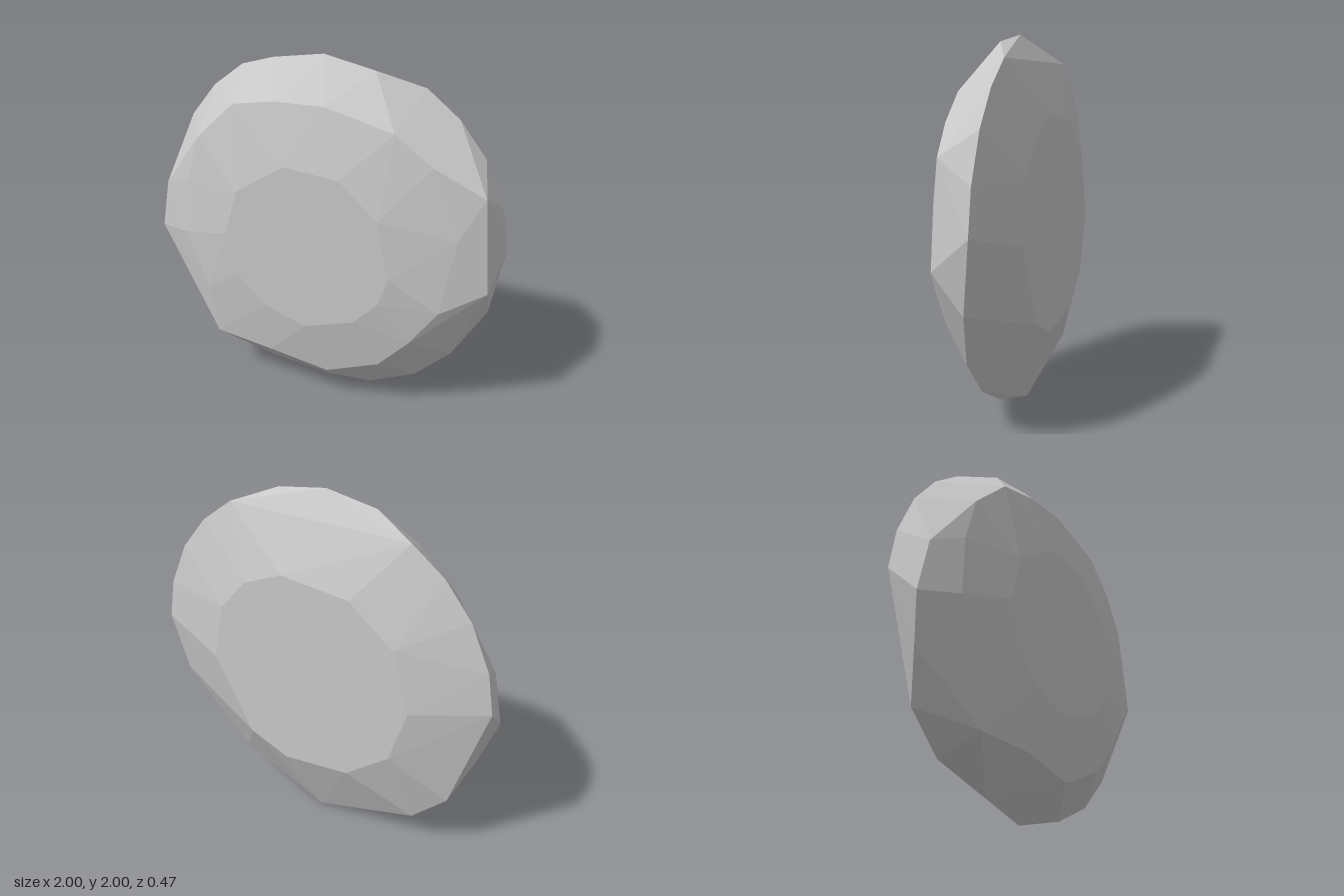
import * as THREE from 'three';
import { ConvexGeometry } from 'three/addons/geometries/ConvexGeometry.js';

// Faceted flat pebble: convex skin over four rough rings of corners
export function createModel() {
  const group = new THREE.Group();
  group.name = 'flatStone';
  const stoneGrey = new THREE.MeshStandardMaterial({ color: 0xc8c8c8 });
  stoneGrey.name = 'stoneGrey';

  // flat front face, x y
  const frontFace = [
    [-0.12, 1.46], [0.19, 1.44], [0.40, 1.25], [0.47, 0.93], [0.42, 0.77], [0.28, 0.62],
    [-0.01, 0.52], [-0.25, 0.60], [-0.41, 0.76], [-0.48, 1.0], [-0.40, 1.27],
  ].map(([x, y]) => [x, y, 0.235]);

  // flat back face, x y
  const backFace = [
    [0.14, 1.58], [-0.25, 1.54], [-0.5, 1.33], [-0.6, 0.98], [-0.5, 0.66], [-0.25, 0.46],
    [0.14, 0.42], [0.37, 0.52], [0.6, 0.96], [0.53, 1.29], [0.37, 1.48],
  ].map(([x, y]) => [x, y, -0.235]);

  // bevel ring between front face and rim, x y z
  const frontBevel = [
    [-0.20, 1.78, 0.165], [0.08, 1.79, 0.165], [0.45, 1.70, 0.155], [0.65, 1.55, 0.14],
    [0.91, 1.40, 0.07], [0.80, 1.18, 0.14], [0.96, 0.88, 0.085], [0.73, 0.75, 0.17],
    [0.58, 0.53, 0.175], [0.41, 0.34, 0.17], [0.10, 0.205, 0.165], [-0.25, 0.27, 0.185],
    [-0.60, 0.29, 0.16], [-0.63, 0.60, 0.19], [-0.78, 0.92, 0.165], [-0.93, 1.17, 0.08],
    [-0.75, 1.25, 0.15], [-0.67, 1.51, 0.145], [-0.44, 1.73, 0.155],
  ];

  // outer rim: crown, mirrored upper half, then uneven lower half
  const rim = [[0, 2, -0.02], [0.285, 1.95, -0.01], [-0.285, 1.95, -0.02]];
  for (const [x, y] of [[0.52, 1.86], [0.70, 1.72], [0.85, 1.53], [0.96, 1.28], [1, 1.05]]) {
    rim.push([x, y, -0.115], [-x, y, -0.115]);
  }
  rim.push(
    [0.94, 0.68, -0.065], [0.77, 0.40, -0.01], [0.57, 0.20, -0.01], [0.30, 0.07, -0.01],
    [0.01, 0, -0.065], [-0.33, 0.07, -0.02], [-0.60, 0.20, -0.1], [-0.80, 0.40, -0.1],
    [-0.91, 0.65, 0], [-0.99, 0.88, 0.07],
  );

  const corners = [...frontFace, ...frontBevel, ...rim, ...backFace]
    .map((p) => new THREE.Vector3(...p));
  const stone = new THREE.Mesh(new ConvexGeometry(corners), stoneGrey);
  stone.name = 'stone';
  group.add(stone);
  return group;
}
